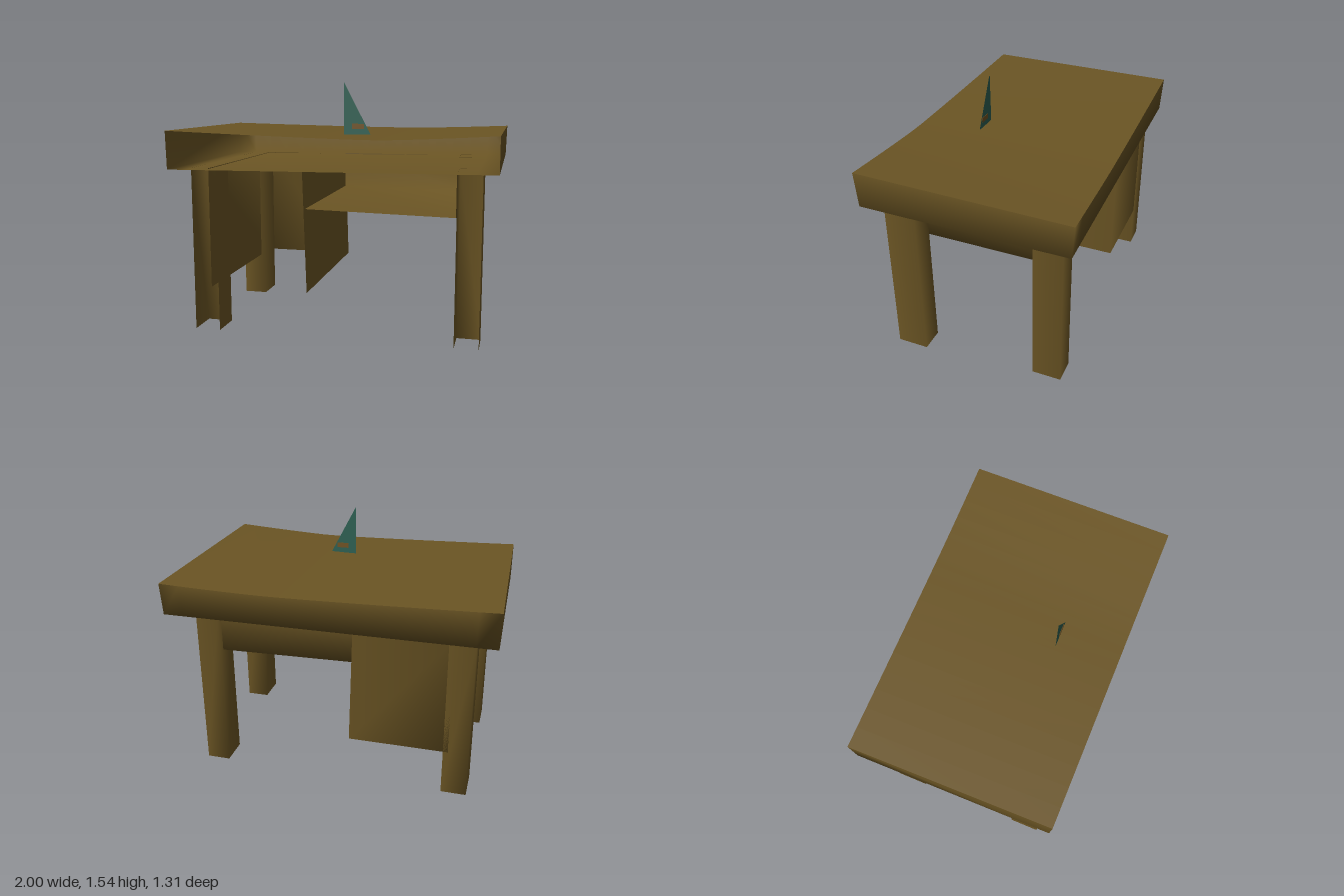
import * as THREE from 'three';

const wood = new THREE.MeshStandardMaterial({ name: 'brownWood', color: 0x6b5524, side: THREE.DoubleSide });
const teal = new THREE.MeshStandardMaterial({ name: 'tealCard', color: 0x2b5e50, side: THREE.DoubleSide });
const tan = new THREE.MeshStandardMaterial({ name: 'tanLabel', color: 0x6e5020 });

// Corner number = x + 2y + 4z, each 0 for low and 1 for high
const FACES = {
  back: [1, 0, 2, 3],
  front: [4, 5, 7, 6],
  left: [1, 3, 7, 5],
  right: [0, 4, 6, 2],
  bottom: [0, 1, 5, 4],
};

function mesh(name, positions, index, material) {
  const g = new THREE.BufferGeometry();
  g.setAttribute('position', new THREE.Float32BufferAttribute(positions, 3));
  g.setIndex(index);
  g.computeVertexNormals();
  const m = new THREE.Mesh(g, material);
  m.name = name;
  return m;
}

const quad = (a, b, c, d) => [a, b, c, a, c, d];

// Box with only the listed walls; bend(point) may shift the corners
function openBox(name, x, y, z, faces, bend = (p) => p) {
  const pos = [];
  for (let i = 0; i < 8; i++) pos.push(...bend([x[i & 1], y[(i >> 1) & 1], z[i >> 2]]));
  return mesh(name, pos, faces.flatMap((f) => quad(...FACES[f])), wood);
}

// Sagging tabletop, hollow and open at the front
function tabletop() {
  const group = new THREE.Group();
  group.name = 'tabletop';
  const n = 16, lerp = THREE.MathUtils.lerp;
  const top = [], shell = [], topIndex = [], shellIndex = [];
  for (let i = 0; i <= n; i++) {
    const u = i / n, x = lerp(-1, 1, u);
    const d = Math.abs((x - 0.3) / (x < 0.3 ? 1.3 : 0.7));
    const yFront = 1.225 + 0.035 * d ** 1.3;
    const yBack = yFront - 0.014 * d;
    const xFront = lerp(-0.985, 0.99, u), yLow = lerp(1.025, 1.046, u);
    const front = [xFront, yFront, lerp(0.635, 0.652, u)];
    const back = [x, yBack, lerp(-0.612, -0.655, u)];
    top.push(...front, ...back);
    shell.push(...back, x * 0.995, yLow, lerp(-0.6, -0.64, u), xFront, yLow, lerp(0.625, 0.635, u), ...front);
    if (i < n) {
      const t = i * 2, s = i * 4;
      topIndex.push(...quad(t, t + 2, t + 3, t + 1));
      shellIndex.push(...quad(s, s + 4, s + 5, s + 1), ...quad(s + 1, s + 5, s + 6, s + 2));
    }
  }
  // End boards
  const e = n * 4;
  shellIndex.push(...quad(0, 1, 2, 3), ...quad(e, e + 3, e + 2, e + 1));
  group.add(mesh('topSurface', top, topIndex, wood), mesh('topFrame', shell, shellIndex, wood));
  return group;
}

export function createModel() {
  const model = new THREE.Group();
  model.name = 'desk';
  model.add(tabletop());

  // Legs: hollow, the front pair open toward the front
  const sides = ['left', 'right', 'back'];
  const legs = [
    ['frontLeftLeg', [0.755, 0.9], 1.045, [0.34, 0.535], sides],
    ['frontRightLeg', [-0.87, -0.71], 1.027, [0.34, 0.535], sides],
    ['backLeftLeg', [0.69, 0.835], 1.045, [-0.54, -0.36], [...sides, 'front']],
    ['backRightLeg', [-0.87, -0.715], 1.027, [-0.54, -0.335], [...sides, 'front']],
  ];
  for (const [name, x, top, z, faces] of legs) {
    model.add(openBox(name, x, [0.003, top], z, faces));
  }

  // Pedestal: three thin panels, open at the front and below
  model.add(openBox('pedestal', [-0.745, -0.13], [0.29, 1.032], [-0.54, 0.56], sides,
    ([x, y, z]) => [x > -0.5 && y > 0.5 ? -0.152 : x, y, z]));

  // Drawer: open tray hung under the top
  model.add(openBox('drawer', [-0.145, 0.752], [0.79, 1.042], [-0.5, 0.535], ['left', 'back', 'bottom'],
    ([x, y, z]) => [x, y < 0.9 ? (x < 0 ? 0.8 : 0.783) : y, z]));

  // Triangular card standing on the top
  const sail = new THREE.Shape([[0.03, 1.228], [0.197, 1.232], [0.032, 1.545]].map((p) => new THREE.Vector2(...p)));
  const card = new THREE.Mesh(new THREE.ShapeGeometry(sail), teal);
  card.name = 'triangularCard';
  card.position.z = 0.26;
  model.add(card);

  // Small label showing on both sides of the card
  const label = new THREE.Mesh(new THREE.BoxGeometry(0.075, 0.032, 0.006), tan);
  label.name = 'cardLabel';
  label.position.set(0.12, 1.28, 0.26);
  model.add(label);

  return model;
}
